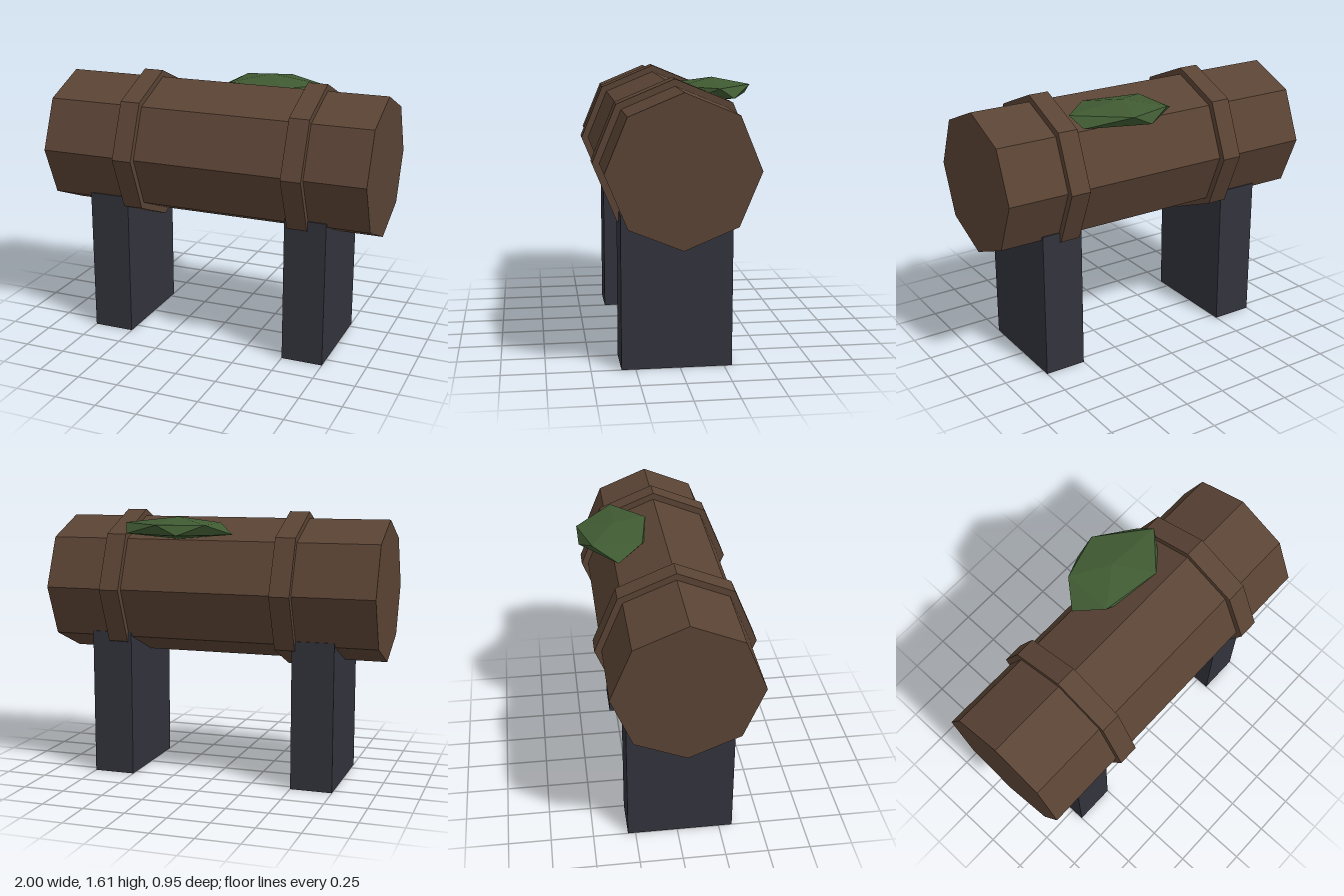
import * as THREE from 'three';
import { ConvexGeometry } from 'three/addons/geometries/ConvexGeometry.js';

export function createModel() {
  const group = new THREE.Group();
  const material = (name, color) => {
    const m = new THREE.MeshStandardMaterial({ color, flatShading: true });
    m.name = name;
    return m;
  };
  const bark = material('bark brown', 0x5a4334);
  const stone = material('dark slate', 0x32323c);
  const moss = material('moss green', 0x3f5a32);
  const axisY = 1.15, axisZ = 0.0175;

  const add = (name, geometry, mat, x = 0, y = 0, z = 0) => {
    const mesh = new THREE.Mesh(geometry, mat);
    mesh.name = name;
    mesh.position.set(x, y, z);
    group.add(mesh);
    return mesh;
  };

  // Octagonal bar along x with a corner pointing up
  const octagon = (radius, length) =>
    new THREE.CylinderGeometry(radius, radius, length, 8).rotateX(0).rotateY(Math.PI / 2).rotateZ(Math.PI / 2);

  add('log', octagon(0.417, 2), bark, 0, axisY, axisZ);

  // Raised bands around the log
  add('bandRight', octagon(0.457, 0.12), bark, -0.46, axisY, axisZ);
  add('bandLeft', octagon(0.457, 0.12), bark, 0.58, axisY, axisZ);

  // Block supports
  for (const [name, x] of [['supportRight', -0.625], ['supportLeft', 0.625]]) {
    add(name, new THREE.BoxGeometry(0.25, 0.88, 0.625), stone, x, 0.44, axisZ);
  }

  // Flattened faceted moss clump: two staggered rings between a top and a bottom point
  const upper = [[0.54, -0.25], [0.34, -0.055], [-0.01, -0.11], [-0.01, -0.4], [0.26, -0.475]];
  const lower = [[0.44, -0.12], [0.14, -0.07], [-0.13, -0.26], [0.14, -0.47], [0.5, -0.34]];
  const points = [
    new THREE.Vector3(0.2, 1.58, -0.26),
    new THREE.Vector3(0.2, 1.45, -0.27),
    ...upper.map(([x, z]) => new THREE.Vector3(x, 1.54, z)),
    ...lower.map(([x, z]) => new THREE.Vector3(x, 1.48, z)),
  ];
  add('mossClump', new ConvexGeometry(points), moss);

  return group;
}
